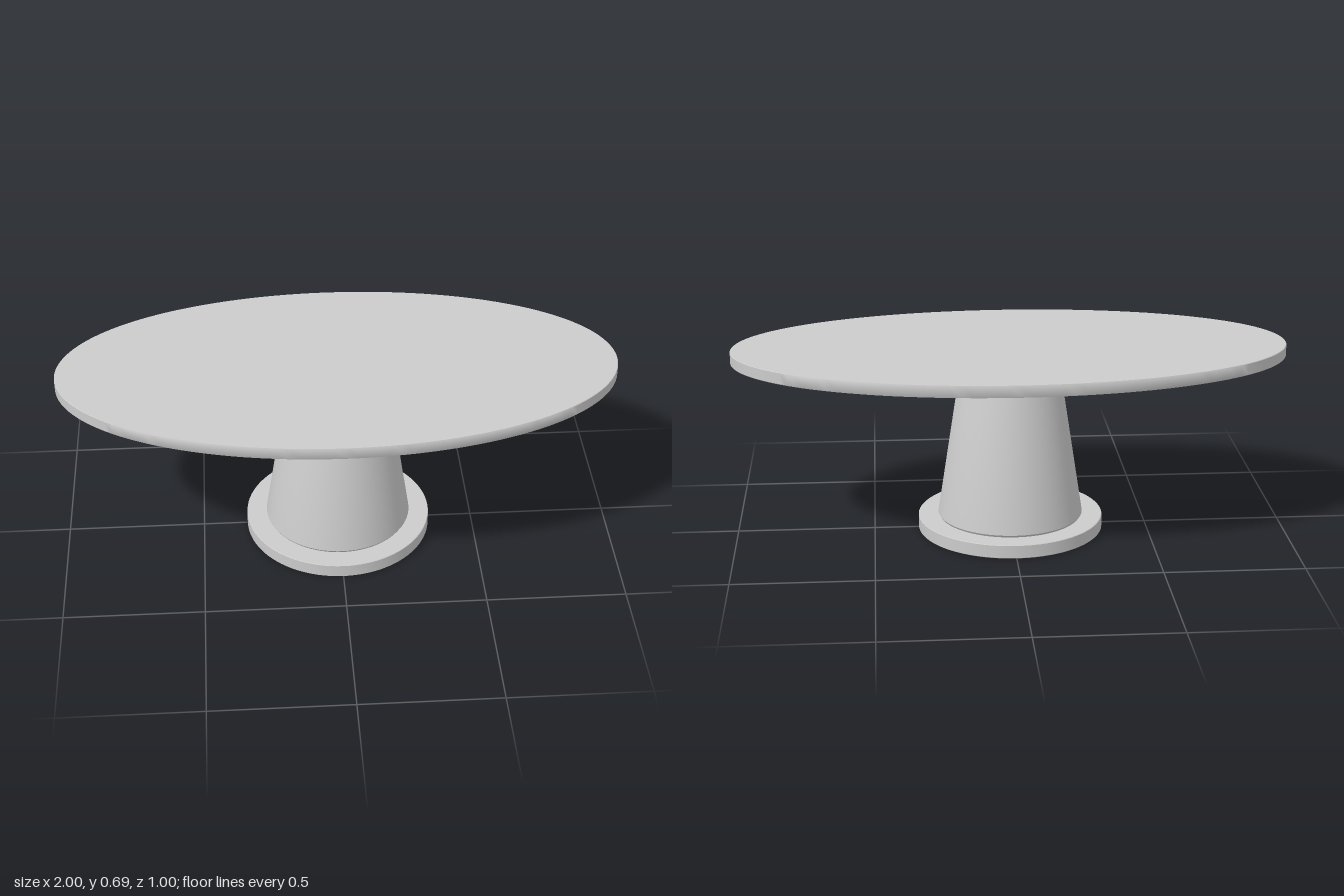
import * as THREE from 'three';
import { toCreasedNormals } from 'three/addons/utils/BufferGeometryUtils.js';

const material = new THREE.MeshStandardMaterial({ color: 0xcccccc });

// Turned solid from a profile of [radius, height] points, bottom to top
function turned(name, profile, depthScale = 1, segments = 96) {
  const points = profile.map(([r, y]) => new THREE.Vector2(r, y));
  const geometry = new THREE.LatheGeometry(points, segments);
  geometry.scale(1, 1, depthScale);
  const mesh = new THREE.Mesh(toCreasedNormals(geometry, 0.6), material);
  mesh.name = name;
  return mesh;
}

// Flat disc with slightly eased rims
function discProfile(radius, bottom, top, ease = 0.002) {
  return [
    [0, bottom], [radius - ease, bottom], [radius, bottom + ease],
    [radius, top - ease], [radius - ease, top], [0, top],
  ];
}

export function createModel() {
  const table = new THREE.Group();
  table.name = 'ovalPedestalTable';

  // Round foot plate
  table.add(turned('basePlate', discProfile(0.338, 0, 0.05)));

  // Tapered column with a rounded shoulder under the top
  table.add(turned('pedestal', [
    [0, 0.05], [0.26, 0.05], [0.265, 0.058],
    [0.179, 0.615], [0.175, 0.627], [0.165, 0.64], [0.148, 0.647], [0.14, 0.648], [0, 0.648],
  ]));

  // Elliptical table top, twice as wide as deep
  table.add(turned('tableTop', discProfile(1, 0.647, 0.69), 0.5, 160));

  return table;
}
